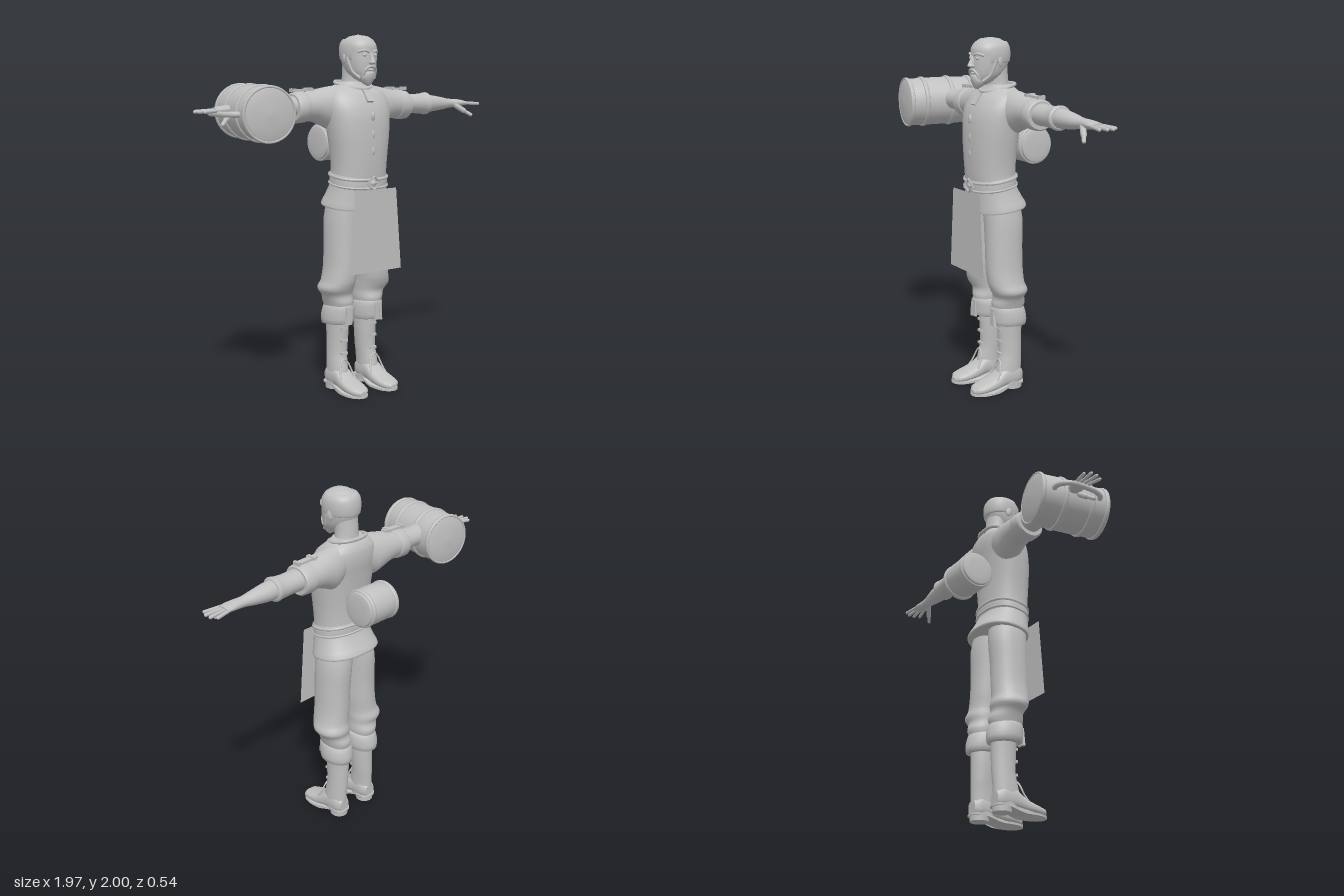
import * as THREE from 'three';

const grey = new THREE.MeshStandardMaterial({ color: 0xc0c0c0, side: THREE.DoubleSide });
grey.name = 'plain grey';
const V = (x, y, z) => new THREE.Vector3(x, y, z);

function add(parent, name, geo, pos, rot, scale) {
  const m = new THREE.Mesh(geo, grey);
  m.name = name;
  if (pos) m.position.set(...pos);
  if (rot) m.rotation.set(...rot);
  if (scale) m.scale.set(...scale);
  parent.add(m);
  return m;
}

// Catmull-Rom smoothing of a list of rings
function refine(rings, sub) {
  const out = [];
  for (let i = 0; i < rings.length - 1; i++) {
    const b = rings[i], c = rings[i + 1], a = rings[i - 1] || b, d = rings[i + 2] || c;
    for (let k = 0; k < sub; k++) {
      const t = k / sub;
      out.push(b.map((v, j) => {
        if (j === 0) return v + (c[0] - v) * t;
        const cubic = 3 * (v - c[j]) + d[j] - a[j];
        const square = 2 * a[j] - 5 * v + 4 * c[j] - d[j];
        return v + 0.5 * t * (c[j] - a[j] + t * (square + t * cubic));
      }));
    }
  }
  out.push(rings[rings.length - 1]);
  return out;
}

// Skin over oval rings along an axis. Ring: [t, lo, hi, lo, hi]; ranges are
// x,z for axis y; y,z for axis x; x,y for axis z.
function loft(axis, rings, { sub = 3, n = 28, p = 2, start = 0, arc = Math.PI * 2 } = {}) {
  const rs = refine(rings, sub);
  const closed = arc > 6.28, cols = closed ? n : n + 1, pos = [], idx = [];
  const put = (t, a, b) => axis === 'y' ? pos.push(a, t, b) : axis === 'x' ? pos.push(t, a, b) : pos.push(a, b, t);
  const pw = v => Math.sign(v) * Math.pow(Math.abs(v), 2 / p);
  const ring = ([t, a0, a1, b0, b1]) => {
    for (let j = 0; j < cols; j++) {
      const th = start + arc * j / n;
      const u = pw(Math.cos(th)), v = pw(Math.sin(th));
      const [ca, cb] = axis === 'y' ? [u, v] : [v, u];
      put(t, (a0 + a1) / 2 + ca * (a1 - a0) / 2, (b0 + b1) / 2 + cb * (b1 - b0) / 2);
    }
  };
  rs.forEach(ring);
  for (let i = 0; i < rs.length - 1; i++) for (let j = 0; j < n; j++) {
    const k = (j + 1) % cols, a = i * cols + j, b = i * cols + k;
    idx.push(a, a + cols, b, b, a + cols, b + cols);
  }
  if (closed) [rs[0], rs[rs.length - 1]].forEach((r, e) => {
    const o = pos.length / 3;
    ring(r);
    put(r[0], (r[1] + r[2]) / 2, (r[3] + r[4]) / 2);
    for (let j = 0; j < n; j++) {
      const k = (j + 1) % n;
      if (e) idx.push(o + n, o + k, o + j);
      else idx.push(o + n, o + j, o + k);
    }
  });
  const g = new THREE.BufferGeometry();
  g.setAttribute('position', new THREE.Float32BufferAttribute(pos, 3));
  g.setIndex(idx);
  g.computeVertexNormals();
  return g;
}

// Raises the back and lowers the front of a horizontal band
function tilt(g, k) {
  const p = g.attributes.position;
  for (let i = 0; i < p.count; i++) p.setY(i, p.getY(i) - k * (p.getZ(i) - 0.05));
  g.computeVertexNormals();
  return g;
}

const tube = (pts, r, closed = false) =>
  new THREE.TubeGeometry(new THREE.CatmullRomCurve3(pts.map(q => V(...q)), closed), 32, r, 8, closed);

function rod(parent, name, a, b, r) {
  const d = V(...b).sub(V(...a)), len = d.length();
  const m = add(parent, name, new THREE.CapsuleGeometry(r, len, 4, 10));
  m.position.copy(V(...a)).addScaledVector(d, 0.5);
  m.quaternion.setFromUnitVectors(V(0, 1, 0), d.normalize());
}

// Wooden keg along local y with hoops
function keg(name, len, rEnd, rMid, dome, hoops) {
  const g = new THREE.Group(), h = len / 2;
  g.name = name;
  const pts = [[0, -h - dome], [rEnd * 0.55, -h - dome * 0.7], [rEnd * 0.93, -h], [rEnd, -h + 0.006], [rMid, -h * 0.4],
    [rMid, h * 0.4], [rEnd, h - 0.006], [rEnd * 0.93, h], [rEnd * 0.55, h + dome * 0.7], [0, h + dome]];
  add(g, name + 'Body', new THREE.LatheGeometry(pts.map(q => new THREE.Vector2(...q)), 36));
  hoops.forEach(([y, r]) => add(g, name + 'Hoop', new THREE.TorusGeometry(r, 0.008, 8, 36), [0, y, 0], [Math.PI / 2, 0, 0], [1, 1, 1.7]));
  return g;
}

function buildHead(root) {
  const head = new THREE.Group();
  head.name = 'head';
  root.add(head);
  add(head, 'neck', loft('y', [[1.69, -0.09, 0.09, -0.045, 0.1], [1.74, -0.072, 0.072, -0.034, 0.092], [1.79, -0.068, 0.068, -0.03, 0.095], [1.85, -0.07, 0.07, -0.025, 0.1]]));
  add(head, 'skull', loft('y', [[1.745, -0.03, 0.03, 0.1, 0.158], [1.765, -0.052, 0.052, 0.06, 0.17], [1.8, -0.075, 0.075, 0.005, 0.18],
    [1.85, -0.088, 0.088, -0.026, 0.183], [1.9, -0.093, 0.093, -0.033, 0.18], [1.94, -0.092, 0.092, -0.03, 0.178],
    [1.972, -0.075, 0.075, -0.012, 0.158], [1.992, -0.046, 0.046, 0.02, 0.125], [2, -0.005, 0.005, 0.065, 0.075]], { p: 2.15 }));
  // Receding hair around the sides and back
  add(head, 'hair', loft('y', [[1.86, -0.084, 0.084, -0.026, 0.17], [1.868, -0.094, 0.094, -0.037, 0.18], [1.91, -0.099, 0.099, -0.041, 0.182],
    [1.95, -0.095, 0.095, -0.036, 0.175], [1.975, -0.08, 0.08, -0.022, 0.16], [1.98, -0.06, 0.06, 0, 0.14]],
  { start: Math.PI * 0.86, arc: Math.PI * 1.28, p: 2.15 }));
  // Nose, mouth and beard
  add(head, 'nose', loft('y', [[1.838, -0.01, 0.01, 0.165, 0.195], [1.846, -0.018, 0.018, 0.16, 0.214], [1.86, -0.012, 0.012, 0.16, 0.209], [1.905, -0.008, 0.008, 0.15, 0.188]], { n: 14 }));
  add(head, 'goatee', loft('y', [[1.722, -0.006, 0.006, 0.15, 0.166], [1.738, -0.027, 0.027, 0.12, 0.176], [1.765, -0.042, 0.042, 0.11, 0.188], [1.795, -0.032, 0.032, 0.13, 0.192], [1.8, -0.024, 0.024, 0.14, 0.184]], { n: 18 }));
  add(head, 'lips', new THREE.SphereGeometry(0.02, 14, 8), [0, 1.809, 0.178], null, [1, 0.35, 0.6]);
  for (const s of [-1, 1]) {
    add(head, 'moustache', tube([[0, 1.828, 0.189], [s * 0.02, 1.825, 0.187], [s * 0.036, 1.808, 0.178], [s * 0.042, 1.78, 0.165]], 0.0075));
    add(head, 'brow', tube([[s * 0.012, 1.905, 0.184], [s * 0.04, 1.914, 0.177], [s * 0.068, 1.905, 0.15]], 0.007));
    add(head, 'eye', new THREE.SphereGeometry(0.014, 14, 10), [s * 0.036, 1.889, 0.173], null, [1, 0.6, 0.6]);
    add(head, 'ear', new THREE.SphereGeometry(0.03, 14, 12), [s * 0.092, 1.872, 0.06], [0, s * 0.4, 0], [0.28, 1, 0.65]);
    add(head, 'sideburn', tube([[s * 0.092, 1.88, 0.088], [s * 0.086, 1.84, 0.1], [s * 0.074, 1.8, 0.115], [s * 0.05, 1.766, 0.148]], 0.009));
  }
}

function buildTorso(root) {
  add(root, 'shirt', loft('y', [[1.16, -0.168, 0.168, -0.05, 0.192], [1.25, -0.163, 0.163, -0.05, 0.2], [1.35, -0.17, 0.17, -0.052, 0.205],
    [1.45, -0.184, 0.184, -0.06, 0.206], [1.55, -0.196, 0.196, -0.072, 0.2], [1.62, -0.2, 0.2, -0.082, 0.182],
    [1.68, -0.185, 0.185, -0.08, 0.148], [1.715, -0.14, 0.14, -0.065, 0.112], [1.745, -0.085, 0.085, -0.04, 0.092]], { n: 40, p: 2.3 }));
  add(root, 'collar', tube([[0, 1.705, 0.118], [0.075, 1.715, 0.09], [0.106, 1.732, 0.025], [0.075, 1.745, -0.04], [0, 1.745, -0.055],
    [-0.075, 1.745, -0.04], [-0.106, 1.732, 0.025], [-0.075, 1.715, 0.09]], 0.011, true));
  add(root, 'collarTab', new THREE.BoxGeometry(0.044, 0.075, 0.014), [0, 1.668, 0.158], [-0.62, 0, 0]);
  for (const y of [1.56, 1.46, 1.37])
    add(root, 'shirtToggle', new THREE.SphereGeometry(0.02, 12, 8), [0, y, 0.2], null, [0.7, 1.3, 0.5]);
  add(root, 'shirtSkirt', tilt(loft('y', [[1.055, -0.198, 0.198, -0.108, 0.192], [1.065, -0.2, 0.2, -0.11, 0.194], [1.11, -0.187, 0.187, -0.085, 0.194], [1.18, -0.17, 0.17, -0.052, 0.196]], { n: 40, p: 2.3 }), 0.12));
  const band = (y0, y1, e) => tilt(loft('y', [[y0, -0.168, 0.168, -0.05, 0.195], [y0 + 0.005, -0.172 - e, 0.172 + e, -0.055 - e, 0.2 + e],
    [y1 - 0.005, -0.17 - e, 0.17 + e, -0.055 - e, 0.2 + e], [y1, -0.165, 0.165, -0.05, 0.195]], { sub: 1, n: 40, p: 2.3 }), 0.15);
  add(root, 'belt', band(1.175, 1.245, 0));
  add(root, 'beltEdge', band(1.222, 1.242, 0.006));
  add(root, 'beltEdge', band(1.178, 1.194, 0.006));
  add(root, 'buckle', new THREE.TorusGeometry(0.04, 0.008, 6, 4), [0, 1.192, 0.212], null, [1.25, 0.9, 1]);
  add(root, 'buckleStud', new THREE.OctahedronGeometry(0.024), [0, 1.192, 0.208], null, [1.2, 1, 0.4]);
  // Apron sheet
  const apron = new THREE.PlaneGeometry(0.33, 0.46, 1, 6), p = apron.attributes.position;
  for (let i = 0; i < p.count; i++) p.setX(i, p.getX(i) * (1 - p.getY(i) * 0.52));
  add(root, 'apron', apron, [0, 0.93, 0.229]);
}

function buildArm() {
  const arm = new THREE.Group();
  arm.name = 'arm';
  add(arm, 'sleeve', loft('x', [[0.08, 1.52, 1.728, -0.065, 0.09], [0.15, 1.485, 1.722, -0.08, 0.1], [0.2, 1.503, 1.714, -0.084, 0.094], [0.27, 1.53, 1.7, -0.085, 0.086], [0.395, 1.537, 1.685, -0.08, 0.08]]));
  add(arm, 'sleeveCuff', loft('x', [[0.322, 1.54, 1.685, -0.08, 0.08], [0.33, 1.527, 1.696, -0.092, 0.092], [0.39, 1.525, 1.69, -0.09, 0.09], [0.4, 1.533, 1.682, -0.082, 0.082]], { sub: 2 }));
  add(arm, 'underSleeve', loft('x', [[0.38, 1.555, 1.672, -0.066, 0.066], [0.48, 1.555, 1.668, -0.066, 0.063], [0.535, 1.55, 1.672, -0.067, 0.064], [0.565, 1.546, 1.677, -0.072, 0.069], [0.573, 1.556, 1.667, -0.062, 0.06]]));
  add(arm, 'forearm', loft('x', [[0.55, 1.56, 1.664, -0.056, 0.054], [0.62, 1.562, 1.658, -0.054, 0.051], [0.7, 1.571, 1.645, -0.043, 0.04], [0.76, 1.58, 1.635, -0.034, 0.032], [0.8, 1.583, 1.633, -0.036, 0.036],
    [0.85, 1.588, 1.628, -0.042, 0.042], [0.885, 1.593, 1.62, -0.04, 0.04]]));
  [[-0.033, 0.955, -0.05], [-0.011, 0.978, -0.02], [0.011, 0.977, 0.016], [0.033, 0.96, 0.05]].forEach(([z, x, z2]) =>
    rod(arm, 'finger', [0.87, 1.607, z], [x, 1.602, z2], 0.0095));
  rod(arm, 'thumb', [0.79, 1.598, 0.022], [0.84, 1.562, 0.052], 0.016);
  rod(arm, 'thumb', [0.84, 1.562, 0.052], [0.875, 1.538, 0.076], 0.011);
  // Shoulder strap
  add(arm, 'shoulderStrap', new THREE.BoxGeometry(0.14, 0.012, 0.036), [0.33, 1.702, 0], [0, 0, -0.04]);
  add(arm, 'strapBuckle', new THREE.BoxGeometry(0.022, 0.016, 0.056), [0.29, 1.706, 0]);
  add(arm, 'strapEnd', new THREE.BoxGeometry(0.016, 0.02, 0.045), [0.392, 1.702, 0]);
  return arm;
}

function buildLeg() {
  const leg = new THREE.Group();
  leg.name = 'leg';
  add(leg, 'trousers', loft('y', [[0.45, 0.04, 0.165, -0.06, 0.1], [0.51, 0.028, 0.182, -0.08, 0.12], [0.555, 0.03, 0.2, -0.066, 0.112], [0.595, 0.028, 0.228, -0.076, 0.132],
    [0.64, 0.026, 0.212, -0.062, 0.148], [0.72, 0.016, 0.198, -0.06, 0.154], [0.85, 0.008, 0.193, -0.06, 0.154], [1, -0.004, 0.188, -0.066, 0.156], [1.12, -0.02, 0.172, -0.05, 0.16]], { p: 2.15 }));
  add(leg, 'trouserCuff', tilt(loft('y', [[0.385, 0.04, 0.165, -0.06, 0.095], [0.392, 0.022, 0.187, -0.088, 0.116], [0.44, 0.016, 0.192, -0.09, 0.12], [0.49, 0.02, 0.184, -0.078, 0.122], [0.502, 0.034, 0.172, -0.06, 0.106]], { sub: 2 }), -0.08));
  add(leg, 'bootShaft', loft('y', [[0.03, 0.06, 0.16, -0.056, 0.09], [0.1, 0.058, 0.162, -0.058, 0.098], [0.17, 0.055, 0.16, -0.06, 0.084], [0.22, 0.05, 0.158, -0.062, 0.076], [0.32, 0.043, 0.158, -0.064, 0.08], [0.42, 0.042, 0.162, -0.066, 0.085]]));
  add(leg, 'bootFoot', loft('z', [[-0.056, 0.075, 0.145, 0.03, 0.11], [-0.02, 0.058, 0.162, 0.02, 0.14], [0.06, 0.055, 0.165, 0.02, 0.135], [0.12, 0.05, 0.17, 0.012, 0.092],
    [0.19, 0.048, 0.172, 0.008, 0.066], [0.24, 0.062, 0.16, 0.008, 0.052], [0.262, 0.09, 0.13, 0.012, 0.035]], { p: 2.5 }));
  // Sole follows a foot outline, heel sits below it
  const s = new THREE.Shape();
  s.moveTo(0.06, -0.04);
  s.bezierCurveTo(0.06, -0.075, 0.16, -0.075, 0.16, -0.04);
  s.bezierCurveTo(0.155, 0.06, 0.185, 0.13, 0.172, 0.2);
  s.bezierCurveTo(0.155, 0.29, 0.065, 0.29, 0.048, 0.2);
  s.bezierCurveTo(0.035, 0.13, 0.065, 0.06, 0.06, -0.04);
  const sole = new THREE.ExtrudeGeometry(s, { depth: 0.012, bevelEnabled: false, curveSegments: 10 }).rotateX(Math.PI / 2), sp = sole.attributes.position;
  for (let i = 0; i < sp.count; i++) sp.setY(i, sp.getY(i) + 0.012 + 0.028 * (1 - THREE.MathUtils.smoothstep(sp.getZ(i), 0, 0.12)));
  sole.computeVertexNormals();
  add(leg, 'sole', sole);
  add(leg, 'heel', new THREE.CylinderGeometry(0.052, 0.05, 0.04, 20), [0.11, 0.02, -0.008], null, [1, 1, 1.05]);
  // Boot seam, side tab and lace straps
  add(leg, 'bootSeam', tube([[0.055, 0.035, 0.16], [0.066, 0.1, 0.108], [0.085, 0.16, 0.087], [0.11, 0.182, 0.085], [0.135, 0.16, 0.087], [0.154, 0.1, 0.108], [0.165, 0.035, 0.16]], 0.005));
  add(leg, 'cuffTab', new THREE.BoxGeometry(0.04, 0.1, 0.014), [0.105, 0.44, 0.12]);
  add(leg, 'cuffTab', new THREE.BoxGeometry(0.014, 0.085, 0.016), [0.12, 0.43, 0.124], [0, 0, 0.12]);
  for (const y of [0.215, 0.29, 0.36])
    add(leg, 'bootStrap', new THREE.BoxGeometry(0.045, 0.014, 0.016), [0.105, y, 0.077]);
  return leg;
}

export function createModel() {
  const root = new THREE.Group();
  root.name = 'brewer';
  buildHead(root);
  buildTorso(root);
  for (const [side, sx] of [['left', 1], ['right', -1]])
    for (const part of [buildArm(), buildLeg()]) {
      part.name = side + part.name[0].toUpperCase() + part.name.slice(1);
      part.scale.x = sx;
      root.add(part);
    }
  // Small keg on the back
  const small = keg('backKeg', 0.226, 0.097, 0.105, 0.005, [[-0.088, 0.1], [0.088, 0.1]]);
  small.position.set(0, 1.4, -0.165);
  small.rotation.z = Math.PI / 2;
  root.add(small);
  // Large tankard around the right forearm
  const mug = keg('tankard', 0.405, 0.138, 0.142, 0.014, [[-0.19, 0.139], [-0.1, 0.142], [0.06, 0.142], [0.19, 0.139]]);
  mug.position.set(-0.666, 1.592, 0.045);
  mug.quaternion.setFromUnitVectors(V(0, 1, 0), V(0.07, 0.005, -0.39).normalize());
  root.add(mug);
  add(root, 'tankardHandle', tube([[-0.74, 1.59, -0.1], [-0.815, 1.59, -0.115], [-0.862, 1.59, -0.07], [-0.875, 1.59, 0.02], [-0.87, 1.59, 0.1], [-0.84, 1.59, 0.15], [-0.79, 1.59, 0.15]], 0.015));
  return root;
}
